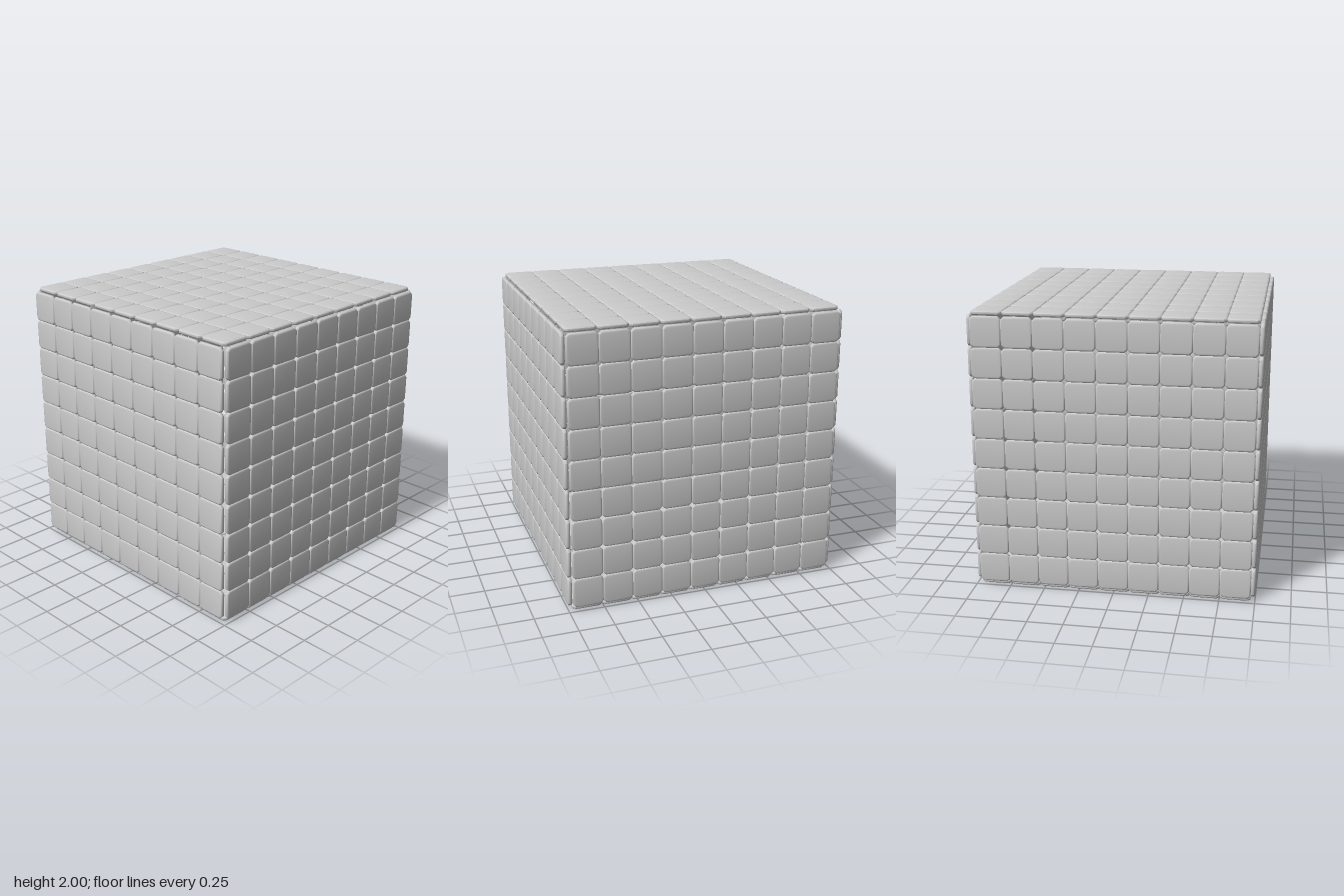
import * as THREE from 'three';
import { mergeGeometries, toCreasedNormals } from 'three/addons/utils/BufferGeometryUtils.js';

const COUNT = 9;            // tiles along each panel side
const INNER = 0.97;         // half size of a panel, and where its inner face lies
const THICK = 0.03;
const PITCH = (2 * INNER) / COUNT;
const CUT = 0.021;          // clipped tile corner, four of them leave a diamond hole

// One thin square tile with clipped corners and softly bevelled rims
function makeTile() {
  const h = PITCH / 2, k = h - CUT;
  const outline = new THREE.Shape([
    [h, -k], [h, k], [k, h], [-k, h], [-h, k], [-h, -k], [-k, -h], [k, -h],
  ].map(([x, y]) => new THREE.Vector2(x, y)));
  const bevel = 0.012, rim = 0.007;
  const tile = new THREE.ExtrudeGeometry(outline, {
    depth: THICK - 2 * rim, bevelEnabled: true, bevelSize: bevel,
    bevelOffset: -bevel, bevelThickness: rim, bevelSegments: 2,
  });
  tile.translate(0, 0, INNER + rim);
  return toCreasedNormals(tile, 0.8);
}

// A 9 x 9 field of tiles facing +z
function makePanel() {
  const tile = makeTile(), tiles = [];
  const at = (i) => (i - (COUNT - 1) / 2) * PITCH;
  for (let i = 0; i < COUNT; i++)
    for (let j = 0; j < COUNT; j++) tiles.push(tile.clone().translate(at(i), at(j), 0));
  return mergeGeometries(tiles);
}

export function createModel() {
  const model = new THREE.Group();
  model.name = 'tiledCube';
  const material = new THREE.MeshStandardMaterial({ color: 0xcccccc });
  const panel = makePanel();
  const q = Math.PI / 2;

  // Six identical panels turned to face outwards
  const sides = [
    ['frontPanel', 0, 0], ['backPanel', 0, 2 * q],
    ['leftPanel', 0, q], ['rightPanel', 0, -q],
    ['topPanel', -q, 0], ['bottomPanel', q, 0],
  ];
  for (const [name, rx, ry] of sides) {
    const mesh = new THREE.Mesh(panel, material);
    mesh.name = name;
    mesh.rotation.set(rx, ry, 0);
    mesh.position.y = 1;
    model.add(mesh);
  }
  return model;
}
